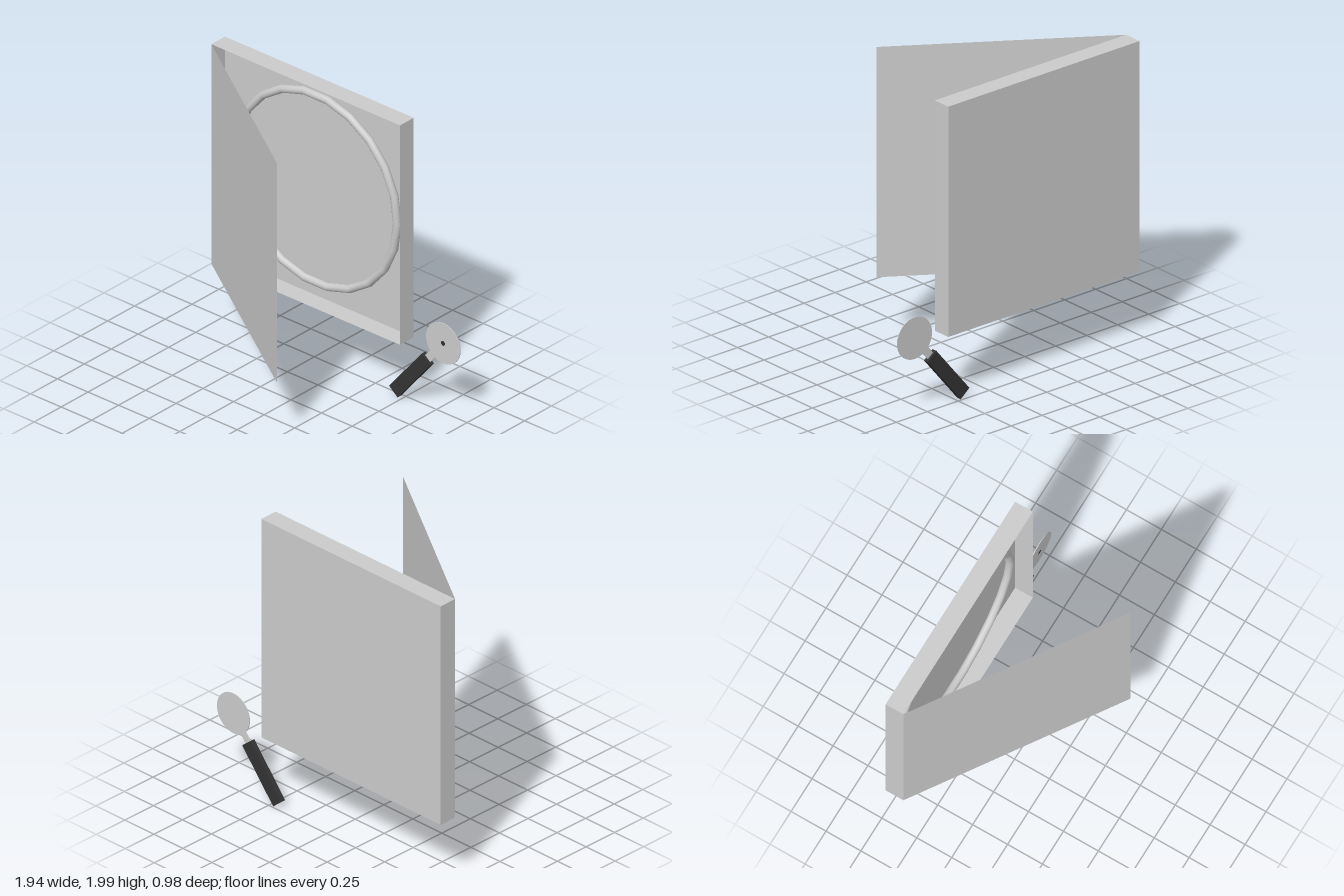
import * as THREE from 'three';

export function createModel() {
  const model = new THREE.Group();
  const grey = new THREE.MeshStandardMaterial({ color: 0xcccccc });
  const card = new THREE.MeshStandardMaterial({ color: 0xcccccc, side: THREE.DoubleSide });
  const dark = new THREE.MeshStandardMaterial({ color: 0x333333 });

  const add = (parent, name, geometry, material, x = 0, y = 0, z = 0) => {
    const mesh = new THREE.Mesh(geometry, material);
    mesh.name = name;
    mesh.position.set(x, y, z);
    parent.add(mesh);
    return mesh;
  };

  // Open tray of thin card: back panel and four side walls
  const size = 1.544, depth = 0.127, half = size / 2;
  const box = new THREE.Group();
  box.name = 'box';
  box.position.set(-0.2, 2 - half, -0.49);
  model.add(box);
  const back = add(box, 'backPanel', new THREE.PlaneGeometry(size, size), card);
  back.rotation.y = Math.PI;
  for (let i = 0; i < 4; i++) {
    const a = i * Math.PI / 2;
    const wall = new THREE.PlaneGeometry(depth, size)
      .rotateY(Math.PI / 2).translate(half, 0, depth / 2).rotateZ(a);
    add(box, 'sideWall' + (i + 1), wall, card);
  }

  // Lid swung open about the hinge edge
  const lid = add(box, 'lid', new THREE.PlaneGeometry(size, size).translate(half, 0, 0),
    card, -half, 0, depth);
  lid.rotation.y = -Math.atan2(0.853, 1.287);

  // Round base with a raised rim, lying on the back panel
  add(box, 'base', new THREE.CircleGeometry(0.665, 22), grey, 0, 0, 0.006);
  add(box, 'rim', new THREE.TorusGeometry(0.663, 0.027, 10, 22), grey, 0, 0, 0.028);

  // Wheel cutter, built along y with the blade centre at its origin
  const cutter = new THREE.Group();
  cutter.name = 'cutter';
  cutter.position.set(0.83, 0.517, -0.4725);
  cutter.rotation.z = -Math.atan2(0.2675, 0.325);
  model.add(cutter);
  const disc = (r, h, n) => new THREE.CylinderGeometry(r, r, h, n).rotateX(Math.PI / 2);
  add(cutter, 'blade', disc(0.14, 0.005, 48), grey);
  add(cutter, 'hub', disc(0.016, 0.004, 16), dark, 0, 0, 0.002);
  add(cutter, 'shank', new THREE.BoxGeometry(0.055, 0.22, 0.004), grey, 0, -0.11, 0);
  add(cutter, 'handle', new THREE.BoxGeometry(0.09, 0.42, 0.035), dark, 0, -0.41, 0);

  return model;
}
